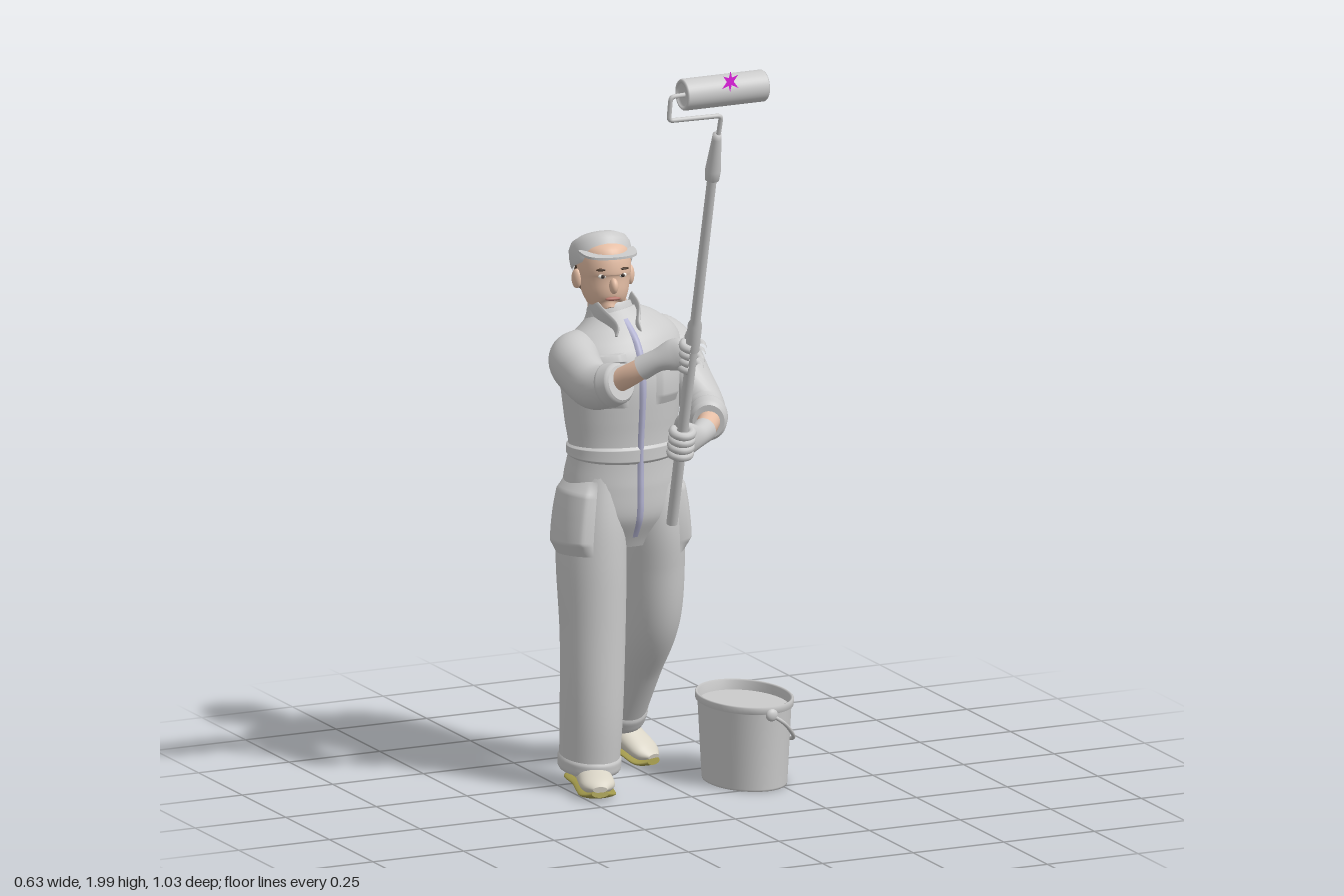
import * as THREE from 'three';

const mat = (color = 0xcccccc, side = THREE.FrontSide) => new THREE.MeshStandardMaterial({ color, side });
const GREY = mat(), GREY2 = mat(0xcccccc, THREE.DoubleSide), SKIN = mat(0xe6bfa6), SHOE = mat(0xd9d4c6);
const SOLE = mat(0xa39a4c), HAIR = mat(0x4a3628), ZIP = mat(0xb4b4d2, THREE.DoubleSide), DARK = mat(0x3a2f2a);
const LIP = mat(0xb5756a), EYE = mat(0xf2efe8), SPLASH = mat(0xe020e0, THREE.DoubleSide);
const V = (x, y, z) => new THREE.Vector3(x, y, z);
const X = V(1, 0, 0), Y = V(0, 1, 0);

// Smooth skin through elliptical sections [x, y, z, a, b]; a lies along ref.
// t and ang limit it to a patch, lift raises that patch off the surface.
function loft(secs, { ref = X, t = [0, 1], ang = null, lift = 0, rows = 36, cols = 32 } = {}) {
  const path = new THREE.CatmullRomCurve3(secs.map(s => V(s[0], s[1], s[2])), false, 'catmullrom');
  const radii = new THREE.CatmullRomCurve3(secs.map(s => V(s[3], s[4], 0)), false, 'catmullrom');
  const pos = [], idx = [], [a0, a1] = ang || [0, Math.PI * 2], w = cols + 1;
  const edge = k => Math.min(1, 6 * Math.min(k, 1 - k));
  const per = ang ? w : cols;
  for (let i = 0; i <= rows; i++) {
    const k = t[0] + (t[1] - t[0]) * i / rows, c = path.getPoint(k), r = radii.getPoint(k), d = path.getTangent(k);
    const s = ref.clone().addScaledVector(d, -ref.dot(d)).normalize(), u = d.clone().cross(s);
    for (let j = 0; j < per; j++) {
      const q = a0 + (a1 - a0) * j / cols, up = lift * edge(i / rows) * (ang ? edge(j / cols) : 1);
      const p = c.clone().addScaledVector(s, (r.x + up) * Math.cos(q)).addScaledVector(u, (r.y + up) * Math.sin(q));
      pos.push(p.x, p.y, p.z);
    }
  }
  for (let i = 0; i < rows; i++) for (let j = 0; j < cols; j++) {
    const a = i * per + j, b = i * per + (j + 1) % per;
    idx.push(a, b, a + per, b, b + per, a + per);
  }
  if (!ang && !lift) for (const end of [0, rows]) {
    // flat end caps with their own vertices
    const base = pos.length / 3, c = path.getPoint(t[end ? 1 : 0]);
    for (let j = 0; j < per; j++) pos.push(...pos.slice((end * per + j) * 3, (end * per + j) * 3 + 3));
    pos.push(c.x, c.y, c.z);
    for (let j = 0; j < per; j++) {
      const a = base + j, b = base + (j + 1) % per;
      idx.push(base + per, ...(end ? [a, b] : [b, a]));
    }
  }
  const g = new THREE.BufferGeometry();
  g.setAttribute('position', new THREE.Float32BufferAttribute(pos, 3));
  g.setIndex(idx);
  g.computeVertexNormals();
  return g;
}

function add(parent, name, geo, material = GREY, p = [0, 0, 0], scale = [1, 1, 1], rot = [0, 0, 0]) {
  const m = new THREE.Mesh(geo, material);
  m.name = name;
  m.position.set(...p); m.scale.set(...scale); m.rotation.set(...rot);
  parent.add(m);
  return m;
}
const ball = new THREE.SphereGeometry(1, 24, 16);
const lathe = (pts, n = 40) => new THREE.LatheGeometry(pts.map(p => new THREE.Vector2(...p)), n);
const tube = (pts, r, n = 48) => new THREE.TubeGeometry(new THREE.CatmullRomCurve3(pts.map(p => V(...p))), n, r, 10);

function buildClothes(g) {
  // torso, from crotch to neck
  const torso = [[-.1, .62, -.2, .1, .07], [-.1, .7, -.203, .15, .112], [-.1, .79, -.198, .15, .115], [-.1, .87, -.19, .14, .106],
    [-.1, .95, -.195, .148, .118], [-.1, 1.05, -.2, .158, .128], [-.1, 1.12, -.212, .165, .115], [-.105, 1.17, -.222, .125, .085], [-.112, 1.21, -.23, .062, .056]];
  const F = -Math.PI / 2;
  add(g, 'torso', loft(torso, { rows: 60, cols: 48 }));
  add(g, 'waistband', loft(torso, { t: [.35, .4], lift: .006, cols: 48 }));
  add(g, 'zip', loft(torso, { t: [.04, .93], ang: [F - .06, F + .06], lift: .006, cols: 4, rows: 60 }), ZIP);
  for (const s of [-1, 1]) {
    add(g, 'chestPocket', loft(torso, { t: [.55, .7], ang: [F + s * .55 - .3, F + s * .55 + .3], lift: .009 }), GREY2);
    add(g, 'pocketFlap', loft(torso, { t: [.68, .73], ang: [F + s * .55 - .33, F + s * .55 + .33], lift: .014 }), GREY2);
    // collar flap
    add(g, 'collarFlap', loft([[-.112 + s * .055, 1.225, -.235, .006, .03], [-.112 + s * .05, 1.205, -.185, .006, .032],
      [-.112 + s * .03, 1.18, -.145, .006, .026], [-.112 + s * .035, 1.165, -.128, .003, .006]], { cols: 16 }));
  }
  add(g, 'collar', loft([[-.112, 1.185, -.23, .072, .066], [-.115, 1.21, -.232, .06, .057], [-.116, 1.225, -.236, .055, .053]], { rows: 10 }));

  // trouser legs: right one upright, left one stretched back
  const legs = {
    right: [[-.17, .84, -.2, .06, .09], [-.182, .7, -.197, .079, .107], [-.187, .58, -.188, .085, .102], [-.187, .4, -.18, .081, .088], [-.187, .2, -.187, .077, .088], [-.187, .05, -.2, .073, .084]],
    left: [[-.03, .84, -.2, .06, .09], [-.02, .7, -.208, .079, .112], [-.01, .58, -.225, .084, .112], [0, .42, -.25, .077, .098], [-.002, .28, -.335, .073, .088], [-.005, .125, -.43, .07, .084]]
  };
  for (const [side, secs] of Object.entries(legs)) {
    const mid = side === 'left' ? .25 : Math.PI - .25;
    add(g, side + 'Leg', loft(secs, { rows: 50 }));
    add(g, side + 'Hem', loft(secs, { t: [.95, 1], lift: .004, rows: 8 }));
    add(g, side + 'HipPocket', loft(secs, { t: [.06, .36], ang: [mid - .85, mid + .85], lift: .017 }), GREY2);
  }

  // rolled sleeves
  const sleeves = {
    right: [[-.18, 1.125, -.235, .045, .055], [-.238, 1.108, -.175, .066, .066], [-.26, 1.09, -.085, .064, .058], [-.262, 1.08, 0, .058, .052], [-.235, 1.107, .085, .044, .042]],
    left: [[-.01, 1.13, -.235, .05, .06], [.043, 1.1, -.22, .064, .077], [.075, 1.02, -.165, .057, .072], [.083, .965, -.095, .05, .06], [.052, .953, -.012, .04, .045]]
  };
  for (const [side, secs] of Object.entries(sleeves)) {
    const ref = side === 'right' ? Y : V(1, 0, .6).normalize();
    add(g, side + 'Sleeve', loft(secs, { ref, rows: 44 }));
    add(g, side + 'Cuff', loft(secs, { ref, t: [.87, 1], lift: .006, rows: 12 }));
  }
}

function buildHands(g) {
  add(g, 'rightForearm', loft([[-.248, 1.095, .05, .03, .03], [-.215, 1.135, .11, .028, .027], [-.18, 1.17, .15, .024, .024]], { ref: Y }), SKIN);
  add(g, 'leftForearm', loft([[.07, .955, -.04, .03, .03], [.03, .95, .02, .028, .027], [-.01, .95, .07, .024, .024]], { ref: Y }), SKIN);
  add(g, 'rightGlove', loft([[-.2, 1.15, .127, .031, .031], [-.168, 1.175, .158, .029, .026], [-.137, 1.19, .183, .041, .023], [-.115, 1.195, .2, .036, .02], [-.1, 1.197, .212, .012, .008]], { ref: Y }));
  add(g, 'leftGlove', loft([[.012, .95, .047, .031, .031], [-.025, .946, .083, .029, .026], [-.062, .95, .112, .041, .023], [-.083, .953, .126, .036, .02], [-.1, .955, .137, .012, .008]], { ref: Y }));
}

function buildShoes(g) {
  const shoes = {
    right: [[-.18, .04, -.288, .018, .022], [-.182, .048, -.265, .034, .038], [-.188, .052, -.2, .042, .04], [-.205, .04, -.13, .03, .044], [-.22, .034, -.08, .022, .042], [-.227, .03, -.053, .008, .018]],
    left: [[-.028, .105, -.512, .02, .02], [-.023, .105, -.49, .036, .036], [-.008, .09, -.435, .044, .039], [.018, .058, -.37, .03, .043], [.033, .036, -.33, .022, .04], [.042, .028, -.305, .008, .018]]
  };
  for (const [side, secs] of Object.entries(shoes)) {
    add(g, side + 'Shoe', loft(secs, { ref: Y }), SHOE);
    add(g, side + 'Sole', loft(secs.map(([x, y, z, a, b]) => [x, Math.max(.009, y - a * .85 - .004), z, .009, b + .003]), { ref: Y }), SOLE);
  }
}

function buildHead(g) {
  add(g, 'neck', new THREE.CylinderGeometry(.046, .05, .1, 24), SKIN, [-.118, 1.23, -.24]);
  const head = new THREE.Group();
  head.name = 'head';
  head.position.set(-.125, 1.3, -.245);
  head.rotation.y = -.15;
  g.add(head);
  add(head, 'face', loft([[0, -.088, .05, .018, .024], [0, -.075, .035, .038, .046], [0, -.045, .02, .055, .065], [0, -.005, .004, .064, .08], [0, .035, 0, .066, .082], [0, .07, -.005, .055, .07], [0, .09, -.008, .02, .03]]), SKIN);
  add(head, 'hair', ball, HAIR, [0, -.005, -.022], [.069, .058, .068]);
  add(head, 'nose', ball, SKIN, [0, -.012, .085], [.011, .02, .016]);
  add(head, 'mouth', ball, LIP, [0, -.046, .079], [.02, .005, .006]);
  for (const s of [-1, 1]) {
    add(head, 'ear', ball, SKIN, [s * .07, -.008, -.002], [.01, .025, .016], [0, s * -.4, 0]);
    add(head, 'eye', ball, EYE, [s * .026, .012, .073], [.011, .006, .006]);
    add(head, 'pupil', ball, DARK, [s * .026, .012, .077], [.005, .005, .004]);
    add(head, 'eyebrow', ball, HAIR, [s * .027, .029, .074], [.016, .0035, .006]);
  }
  // cap tipped back, with visor
  add(head, 'cap', lathe([[.082, -.008], [.086, 0], [.087, .02], [.085, .04], [.076, .056], [.055, .066], [.03, .071], [0, .073]]), GREY2, [0, .026, -.018], [.9, 1, 1], [-.5, 0, 0]);
  const visor = new THREE.Shape();
  visor.moveTo(-.072, 0);
  visor.bezierCurveTo(-.072, .06, -.06, .077, 0, .08);
  visor.bezierCurveTo(.06, .077, .072, .06, .072, 0);
  const vg = new THREE.ExtrudeGeometry(visor, { depth: .006, bevelEnabled: false, curveSegments: 20 });
  add(head, 'visor', vg, GREY, [0, .069, .018], [1, 1, 1], [Math.PI / 2 + .06, 0, 0]);
}

function buildRoller(g) {
  const pole = new THREE.Group();
  pole.name = 'pole';
  pole.position.set(-.085, .725, .063);
  pole.quaternion.setFromUnitVectors(Y, V(-.035, .955, .302).normalize());
  g.add(pole);
  add(pole, 'poleShaft', lathe([[0, 0], [.014, 0], [.014, .5], [.018, .505], [.018, .58], [.013, .59], [.012, 1.0], [.018, 1.003], [.02, 1.03], [.012, 1.12], [.011, 1.135], [0, 1.135]], 24));
  // gloved fingers wrapped round the shaft
  const finger = new THREE.TorusGeometry(.024, .011, 10, 24, Math.PI * 1.5);
  for (const [name, at, turn] of [['leftFinger', .236, -.6], ['rightFinger', .488, 2.2]]) {
    for (let i = 0; i < 4; i++) add(pole, name, finger, GREY, [0, at + (i - 1.5) * .02, 0], [1, 1, 1], [Math.PI / 2, 0, turn]);
    add(pole, name.replace('Finger', 'Thumb'), ball, GREY, [0, at + .045, -.02], [.013, .03, .013], [.3, 0, 0]);
  }
  // wire frame, sleeve and paint splash
  const wire = new THREE.CurvePath();
  const pts = [[-.122, 1.79, .402], [-.122, 1.857, .423], [-.268, 1.86, .425], [-.268, 1.924, .437], [-.2, 1.926, .437]].map(p => V(...p));
  const corner = (i, f) => pts[i].clone().lerp(pts[i + f], .012 / pts[i].distanceTo(pts[i + f]));
  let from = pts[0];
  for (let i = 1; i < 4; i++) {
    wire.add(new THREE.LineCurve3(from, corner(i, -1)));
    wire.add(new THREE.QuadraticBezierCurve3(corner(i, -1), pts[i], corner(i, 1)));
    from = corner(i, 1);
  }
  wire.add(new THREE.LineCurve3(from, pts[4]));
  add(g, 'rollerFrame', new THREE.TubeGeometry(wire, 120, .006, 10), GREY);
  const h = .113;
  add(g, 'rollerSleeve', lathe([[0, -h + .008], [.03, -h + .008], [.03, -h], [.037, -h], [.04, -h + .004], [.04, h - .004], [.037, h], [.03, h], [.03, h - .008], [0, h - .008]]), GREY, [-.125, 1.926, .437], [1, 1, 1], [0, 0, -Math.PI / 2]);
  const splash = new THREE.Shape([.034, .012, .028, .011, .03, .013, .035, .012, .026, .01, .036, .012].map((r, i) =>
    new THREE.Vector2(r * .75 * Math.cos(i * Math.PI / 6 + .5), r * Math.sin(i * Math.PI / 6 + .5))));
  add(g, 'paintSplash', new THREE.ShapeGeometry(splash), SPLASH, [-.14, 1.966, .512]);
}

function buildBucket(g) {
  const b = new THREE.Group();
  b.name = 'bucket';
  b.position.set(.195, 0, -.103);
  g.add(b);
  const oval = [.72, 1, 1];
  add(b, 'bucketWall', lathe([[0, .004], [.128, .004], [.131, 0], [.136, 0], [.137, .005], [.15, .2], [.157, .203], [.158, .218], [.154, .221], [.147, .218], [.144, .18]], 56), GREY2, [0, 0, 0], oval);
  add(b, 'bucketFill', new THREE.CircleGeometry(.146, 56), GREY, [0, .195, 0], [.72, 1, 1], [-Math.PI / 2, 0, 0]);
  // carrying handle hanging on the outer side
  add(b, 'bucketHandle', tube([[0, .2, .16], [.035, .175, .156], [.085, .125, .105], [.108, .1, 0], [.085, .125, -.105], [.035, .175, -.156], [0, .2, -.16]], .005));
  for (const s of [-1, 1]) add(b, 'handleLug', ball, GREY, [0, .2, s * .157], [.016, .016, .01]);
}

export function createModel() {
  const model = new THREE.Group();
  model.name = 'painterWithRoller';
  for (const build of [buildClothes, buildHands, buildShoes, buildHead, buildRoller, buildBucket]) build(model);
  return model;
}
